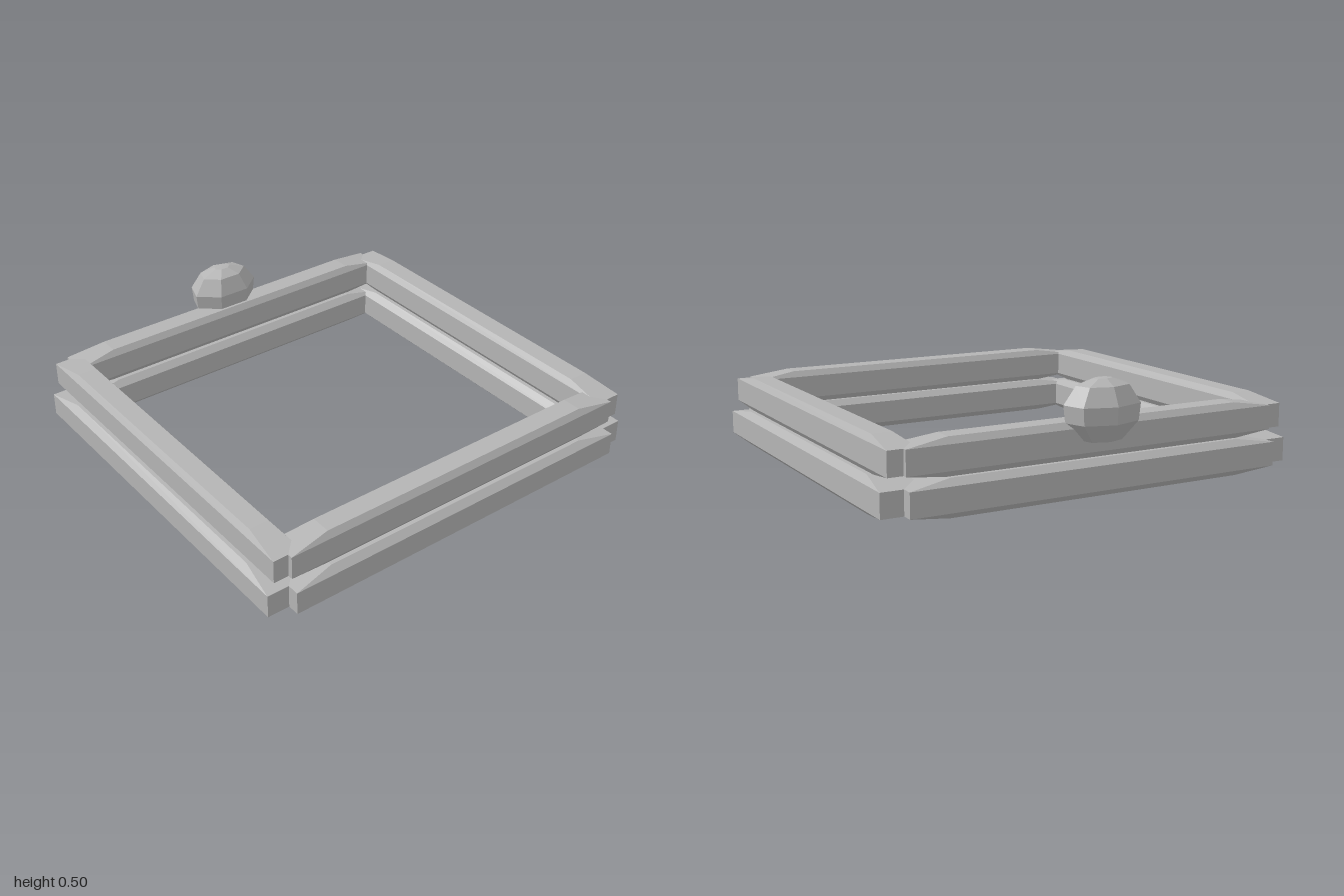
import * as THREE from 'three';
import { ConvexGeometry } from 'three/addons/geometries/ConvexGeometry.js';

const stone = new THREE.MeshStandardMaterial({ color: 0xb4b4b4 });
stone.name = 'grey stone';

const signs = [-1, 1];

// Beam along x: a box core whose raised top and bottom faces slope down to its ends
function beamGeometry(length, width, bevel) {
  const points = [];
  for (const sx of signs) for (const sy of signs) for (const sz of signs) {
    points.push(new THREE.Vector3(sx * length / 2, sy * 0.054, sz * width / 2));
    points.push(new THREE.Vector3(sx * (length / 2 - 0.19), sy * 0.082, sz * (width / 2 - bevel)));
  }
  return new ConvexGeometry(points);
}

// Seven-sided faceted knob, given as [radius, height] rings
function knobGeometry() {
  const rings = [[0.02, 0.502], [0.24, 0.5], [0.69, 0.473], [1, 0.395], [0.95, 0.32], [0.52, 0.24], [0.02, 0.235]];
  const points = [];
  for (const [r, y] of rings) for (let i = 0; i < 7; i++) {
    const a = i / 7 * Math.PI * 2;
    points.push(new THREE.Vector3(Math.sin(a) * r * 0.179, y, -Math.cos(a) * r * 0.118));
  }
  return new ConvexGeometry(points);
}

// Square frame of four crossing beams
function makeFrame(name, y, width, bevel) {
  const frame = new THREE.Group();
  frame.name = name;
  const geometry = beamGeometry(1.79, width, bevel);
  const add = (part, x, z, turn) => {
    const mesh = new THREE.Mesh(geometry, stone);
    mesh.name = part;
    mesh.position.set(x, y, z);
    mesh.rotation.y = turn;
    frame.add(mesh);
  };
  add('frontBeam', 0, 0.895, 0);
  add('backBeam', 0, -0.806, 0);
  add('leftBeam', 0.9, 0.043, Math.PI / 2);
  add('rightBeam', -0.9, 0.043, Math.PI / 2);
  return frame;
}

export function createModel() {
  const model = new THREE.Group();
  model.name = 'beamFrame';
  model.add(makeFrame('lowerFrame', 0.085, 0.196, 0.03));
  model.add(makeFrame('upperFrame', 0.243, 0.132, 0.02));

  const knob = new THREE.Mesh(knobGeometry(), stone);
  knob.name = 'knob';
  knob.position.z = -0.874;
  model.add(knob);

  // Rest the lower frame exactly on the ground
  model.children[0].position.y = -0.003;
  return model;
}
